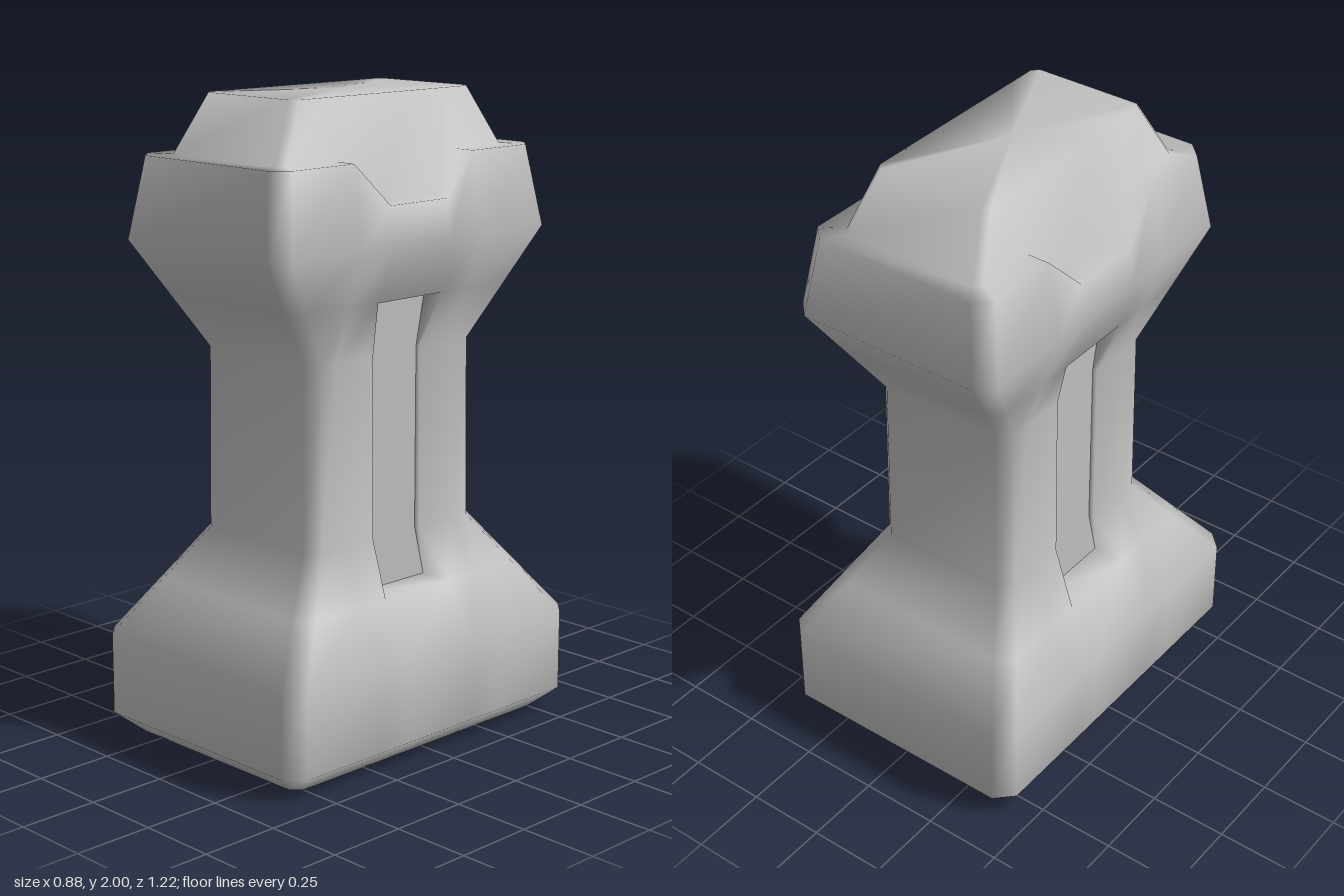
import * as THREE from 'three';

// Sections from the foot to the crown:
// [y, half width, half depth, corner chamfer, half width of side strip, strip y, strip x]
const SECTIONS = [
  [0, 0.36, 0.53, 0.03, 0.14],
  [0.07, 0.44, 0.612, 0.055, 0.14],
  [0.33, 0.44, 0.612, 0.055, 0.14],
  [0.5, 0.342, 0.48, 0.05, 0.14],
  [0.66, 0.248, 0.355, 0.04, 0.1],
  [1.23, 0.245, 0.35, 0.04, 0.1],
  [1.4, 0.3, 0.465, 0.045, 0.135],
  [1.57, 0.355, 0.58, 0.05, 0.12],
  [1.82, 0.316, 0.54, 0.05, 0.12, 1.69, 0.335],
  [1.82, 0.243, 0.47, 0.02, 0.12, 1.69, 0.27],
  [2, 0.195, 0.37, 0.02, 0.12],
];
const SLOT_FIRST = 3, SLOT_LAST = 6; // sections that hold the side slot
const SLOT_X = 0.23;                 // how far out the slot floor lies
const N = 16;

// Half of a chamfered rectangle; the other half is the same turned by 180 degrees
function ring([y, hx, hz, c, w, midY = y, midX = hx]) {
  const e = hz - c;
  const half = [
    [hx, y, -e], [hx, y, -0.25], [midX, midY, -w], [midX, midY, w],
    [hx, y, 0.25], [hx, y, e], [hx - c, y, hz], [c - hx, y, hz],
  ];
  return [...half, ...half.map(([x, h, z]) => [-x, h, -z])];
}

function makeGeometry(points, index) {
  const g = new THREE.BufferGeometry();
  g.setAttribute('position', new THREE.Float32BufferAttribute(points.flat(), 3));
  g.setIndex(index);
  g.computeVertexNormals();
  return g;
}

// Outer skin with an open slot on each side, plus the slot walls
function bodyGeometry() {
  const points = SECTIONS.flatMap(ring);
  const index = [];
  const quad = (a, b, c, d) => index.push(a, d, b, d, c, b);

  for (let j = 0; j < SECTIONS.length - 1; j++) {
    for (let i = 0; i < N; i++) {
      if (i % 8 === 2 && j >= SLOT_FIRST && j < SLOT_LAST) continue;
      const n = (i + 1) % N;
      quad(j * N + i, j * N + n, (j + 1) * N + n, (j + 1) * N + i);
    }
  }

  // Underside and crown
  const top = (SECTIONS.length - 1) * N;
  const low = points.push([0, 0, 0]) - 1;
  const high = points.push([0, 2, 0]) - 1;
  for (let i = 0; i < N; i++) {
    const n = (i + 1) % N;
    index.push(low, i, n, high, top + n, top + i);
  }

  // Slot walls: up one edge, down the other
  for (const [s, sign] of [[2, 1], [10, -1]]) {
    const loop = [];
    for (let j = SLOT_FIRST; j <= SLOT_LAST; j++) loop.push(j * N + s);
    for (let j = SLOT_LAST; j >= SLOT_FIRST; j--) loop.push(j * N + s + 1);
    const inner = loop.map((v) => points.push([sign * SLOT_X, points[v][1], points[v][2]]) - 1);
    loop.forEach((o, k) => {
      const m = (k + 1) % loop.length;
      index.push(o, loop[m], inner[k], loop[m], inner[m], inner[k]);
    });
  }
  return makeGeometry(points, index);
}

// Flat flared floor of a slot, facing +x
function slotFloorGeometry() {
  const points = [], index = [];
  for (let j = SLOT_FIRST; j <= SLOT_LAST; j++) {
    const [y, , , , w] = SECTIONS[j];
    points.push([SLOT_X, y, -w], [SLOT_X, y, w]);
  }
  for (let a = 0; a < points.length - 2; a += 2) {
    index.push(a, a + 2, a + 1, a + 2, a + 3, a + 1);
  }
  return makeGeometry(points, index);
}

export function createModel() {
  const grey = new THREE.MeshStandardMaterial({ color: 0xc0c0c0 });
  grey.name = 'plain grey';

  const model = new THREE.Group();
  model.name = 'pedestal';

  const body = new THREE.Mesh(bodyGeometry(), grey);
  body.name = 'body';
  model.add(body);

  const floor = slotFloorGeometry();
  ['leftSlotFloor', 'rightSlotFloor'].forEach((name, i) => {
    const mesh = new THREE.Mesh(floor, grey);
    mesh.name = name;
    mesh.rotation.y = i * Math.PI;
    model.add(mesh);
  });
  return model;
}
